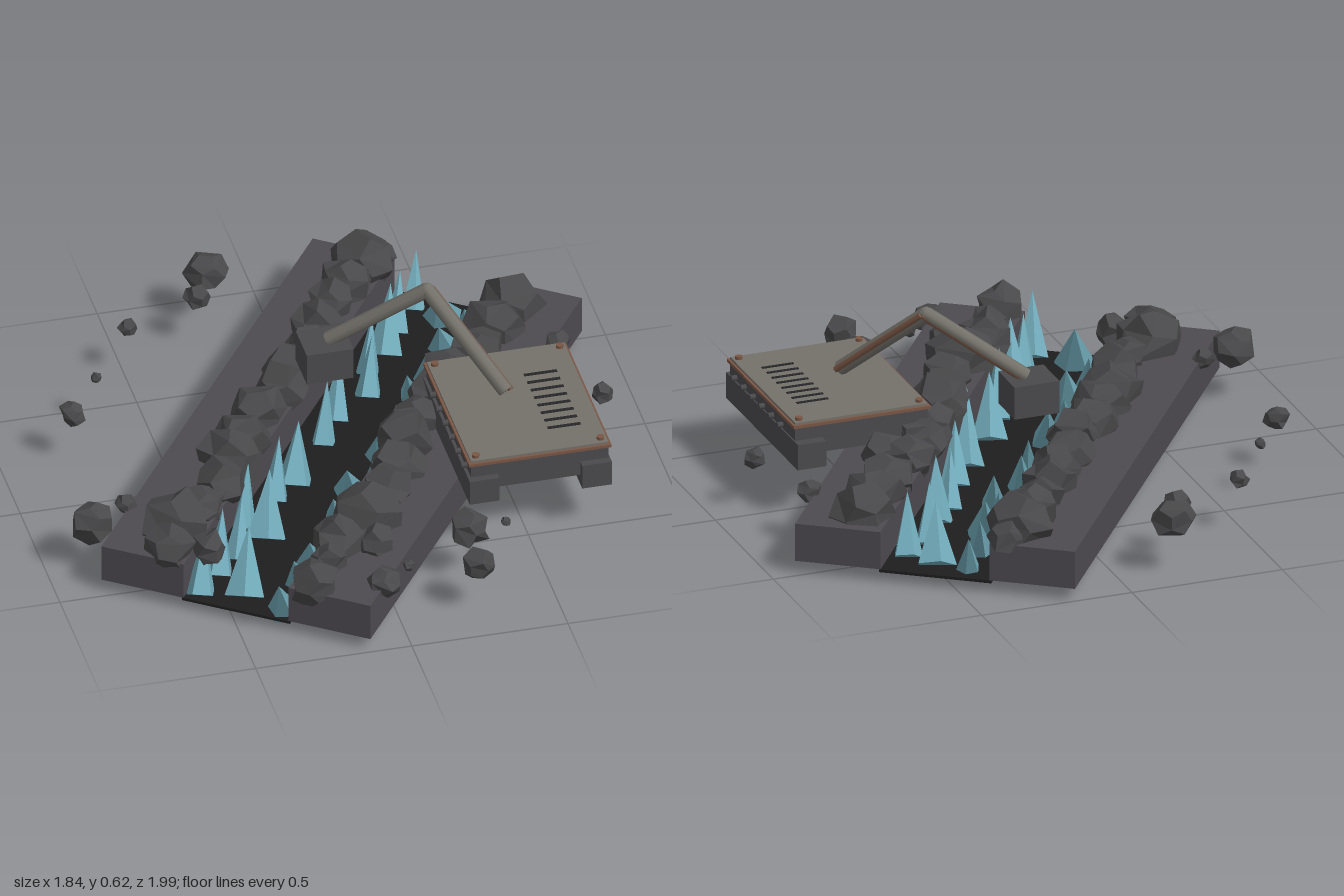
import * as THREE from 'three';
import { mergeVertices } from 'three/addons/utils/BufferGeometryUtils.js';

const mat = (name, color) => Object.assign(new THREE.MeshStandardMaterial({ color }), { name });

let seed = 7;
function rand() {
  seed = (seed * 16807) % 2147483647;
  return seed / 2147483647;
}

// Faceted boulder: a dodecahedron with displaced corners
function rockGeometry(r) {
  let g = new THREE.DodecahedronGeometry(1);
  g.deleteAttribute('normal');
  g.deleteAttribute('uv');
  g = mergeVertices(g, 1e-3);
  const p = g.attributes.position;
  for (let i = 0; i < p.count; i++) {
    const k = r * (0.83 + 0.38 * rand());
    p.setXYZ(i, p.getX(i) * k, p.getY(i) * k, p.getZ(i) * k);
  }
  g = g.toNonIndexed();
  g.computeVertexNormals();
  return g;
}

export function createModel() {
  seed = 7;
  const model = new THREE.Group();
  const stone = mat('slab stone', 0x4d4a50);
  const rock = mat('boulder grey', 0x484749);
  const black = mat('trench black', 0x1e1e1e);
  const blue = mat('crystal blue', 0x6fa7b6);
  const steel = mat('worn steel', 0x74716a);
  const dark = mat('dark metal', 0x4a494c);
  const rust = mat('rust', 0x7a5645);
  const slot = mat('vent black', 0x26262a);

  const add = (parent, name, geo, material, x = 0, y = 0, z = 0) => {
    const m = new THREE.Mesh(geo, material);
    m.name = name;
    m.position.set(x, y, z);
    parent.add(m);
    return m;
  };
  const box = (parent, name, material, x0, x1, y0, y1, z0, z1) =>
    add(parent, name, new THREE.BoxGeometry(x1 - x0, y1 - y0, z1 - z0), material,
      (x0 + x1) / 2, (y0 + y1) / 2, (z0 + z1) / 2);

  // Trench: two banks and a thin floor, turned diagonally
  const trench = new THREE.Group();
  trench.name = 'trench';
  trench.position.set(0.03, 0, -0.005);
  trench.rotation.y = -0.62;
  model.add(trench);
  for (const s of [-1, 1]) {
    const a = s * 0.175, b = s * 0.448;
    box(trench, 'bank', stone, Math.min(a, b), Math.max(a, b), 0.04, 0.165, -0.903, 0.903);
  }
  box(trench, 'trenchFloor', black, -0.18, 0.18, 0.03, 0.039, -0.903, 0.903);

  // Crystal spikes: x, z, base radius
  const crystals = [
    [0.52, -0.66, 0.065], [0.44, -0.73, 0.04], [0.58, -0.57, 0.05], [0.48, -0.5, 0.05],
    [0.40, -0.35, 0.055], [0.32, -0.27, 0.04], [0.24, -0.1, 0.05], [0.15, 0.03, 0.055],
    [0.10, 0.16, 0.04], [0.01, 0.2, 0.06], [-0.07, 0.34, 0.05], [-0.12, 0.45, 0.04],
    [-0.20, 0.56, 0.06], [-0.27, 0.63, 0.045], [-0.35, 0.76, 0.05],
    [0.36, -0.62, 0.045], [0.30, -0.51, 0.06], [0.22, -0.42, 0.04], [0.19, -0.3, 0.045],
    [0.06, -0.2, 0.045], [-0.01, -0.08, 0.04], [-0.15, 0.11, 0.06], [-0.23, 0.18, 0.045],
    [-0.31, 0.37, 0.065], [-0.36, 0.3, 0.04], [-0.42, 0.46, 0.045], [-0.50, 0.53, 0.05],
    [-0.45, 0.66, 0.065], [-0.58, 0.62, 0.05],
  ];
  const up = new THREE.Vector3(0, 1, 0);
  for (const [x, z, r] of crystals) {
    const h = 0.14 + r * 1.0 + 0.03 * rand();
    const side = (x - 0.03) * 0.814 + z * 0.581 < 0 ? -1 : 1;
    const lean = new THREE.Vector3(-0.581 * side + 0.2 * side, 1.5, 0.814 * side + 0.2 * side)
      .normalize();
    const g = new THREE.ConeGeometry(r, h, 5).toNonIndexed();
    g.rotateY(rand() * 6);
    g.translate(0, h / 2, 0);
    g.computeVertexNormals();
    add(model, 'crystal', g, blue, x, 0.034, z).quaternion.setFromUnitVectors(up, lean);
  }

  // Boulders along both banks, then loose stones: x, z, radius, centre height
  const bankRocks = [
    [0.30, -0.8, 0.1, 0.2], [0.36, -0.84, 0.06, 0.18], [0.22, -0.7, 0.085, 0.2],
    [0.15, -0.61, 0.07, 0.19], [0.08, -0.5, 0.08, 0.18], [0.02, -0.4, 0.075, 0.18],
    [-0.05, -0.31, 0.085, 0.18], [-0.12, -0.2, 0.085, 0.19], [-0.22, -0.1, 0.09, 0.18],
    [-0.30, 0.02, 0.09, 0.18], [-0.36, 0.12, 0.095, 0.17], [-0.43, 0.25, 0.085, 0.18],
    [-0.50, 0.35, 0.07, 0.18], [-0.60, 0.42, 0.11, 0.18], [-0.66, 0.55, 0.075, 0.18],
    [-0.54, 0.57, 0.06, 0.17],
    [0.70, -0.5, 0.1, 0.17], [0.62, -0.38, 0.095, 0.18], [0.53, -0.27, 0.08, 0.18],
    [0.41, -0.17, 0.075, 0.18], [0.48, -0.1, 0.07, 0.18], [0.33, -0.06, 0.085, 0.18],
    [0.26, 0.05, 0.08, 0.18], [0.19, 0.16, 0.095, 0.2], [0.14, 0.28, 0.09, 0.18],
    [0.07, 0.4, 0.08, 0.18], [-0.02, 0.51, 0.11, 0.17], [-0.15, 0.64, 0.085, 0.19],
    [-0.04, 0.68, 0.06, 0.18], [-0.20, 0.74, 0.06, 0.18], [-0.27, 0.85, 0.08, 0.18],
  ];
  const looseRocks = [
    [-0.18, -0.89, 0.065, 0.18], [-0.24, -0.77, 0.04, 0.17], [-0.49, -0.66, 0.03, 0.17],
    [-0.65, -0.42, 0.018, 0.17], [-0.77, -0.25, 0.04, 0.17], [-0.85, 0.33, 0.07, 0.17],
    [-0.73, 0.27, 0.032, 0.17], [0.79, -0.26, 0.04, 0.17], [0.85, 0.04, 0.035, 0.17],
    [0.27, 0.67, 0.062, 0.18], [0.39, 0.65, 0.016, 0.17], [0.25, 0.86, 0.055, 0.17],
    [0.04, 0.81, 0.02, 0.17], [-0.06, 0.88, 0.052, 0.17],
  ];
  const addRocks = (name, list) => {
    for (const [x, z, r, y] of list)
      add(model, name, rockGeometry(r), rock, x, y, z).rotation.set(0, rand() * 6, 0);
  };
  addRocks('bankBoulder', bankRocks);
  addRocks('looseStone', looseRocks);

  // Machine: body, skids, rusty rim and top plate
  const machine = new THREE.Group();
  machine.name = 'machine';
  model.add(machine);
  box(machine, 'body', dark, 0.315, 0.755, 0.2, 0.295, -0.055, 0.505);
  for (const x of [0.305, 0.665])
    box(machine, 'skid', dark, x, x + 0.095, 0.165, 0.25, -0.09, 0.53);
  box(machine, 'rim', rust, 0.307, 0.763, 0.293, 0.303, -0.063, 0.513);
  box(machine, 'topPlate', steel, 0.315, 0.755, 0.302, 0.31, -0.055, 0.505);
  for (let i = 0; i < 8; i++) {
    const z = 0.09 + i * 0.0425;
    box(machine, 'vent', slot, 0.59, 0.695, 0.306, 0.312, z - 0.006, z + 0.006);
  }
  for (const x of [0.335, 0.735])
    for (const z of [-0.033, 0.483])
      add(machine, 'cornerBolt', new THREE.CylinderGeometry(0.012, 0.012, 0.012, 8), rust, x, 0.314, z);
  for (const x of [0.308, 0.762])
    for (let i = 0; i < 6; i++)
      add(machine, 'sideBolt', new THREE.CylinderGeometry(0.01, 0.01, 0.022, 8), dark,
        x, 0.262, 0.45 - i * 0.079).rotation.z = Math.PI / 2;

  // Jointed arm with a rusty pipe beside each section
  const tube = (name, a, b, r, material, sides) => {
    const d = b.clone().sub(a);
    const g = new THREE.CylinderGeometry(r, r, d.length(), sides);
    const m = add(machine, name, g, material);
    m.position.copy(a).add(b).multiplyScalar(0.5);
    m.quaternion.setFromUnitVectors(up, d.normalize());
  };
  const base = new THREE.Vector3(0.5, 0.35, 0.215);
  const elbow = new THREE.Vector3(0.31, 0.6, -0.03);
  const wrist = new THREE.Vector3(0.02, 0.39, -0.14);
  const offset = new THREE.Vector3(0.018, 0, -0.006);
  for (const [a, b] of [[base, elbow], [elbow, wrist]]) {
    tube('armSection', a, b, 0.024, steel, 8);
    tube('armPipe', a.clone().add(offset), b.clone().add(offset), 0.011, rust, 6);
  }
  add(machine, 'elbowJoint', new THREE.SphereGeometry(0.023, 10, 8), steel, elbow.x, elbow.y, elbow.z);
  box(machine, 'toolHead', dark, -0.065, 0.085, 0.28, 0.388, -0.21, -0.07);

  return model;
}
